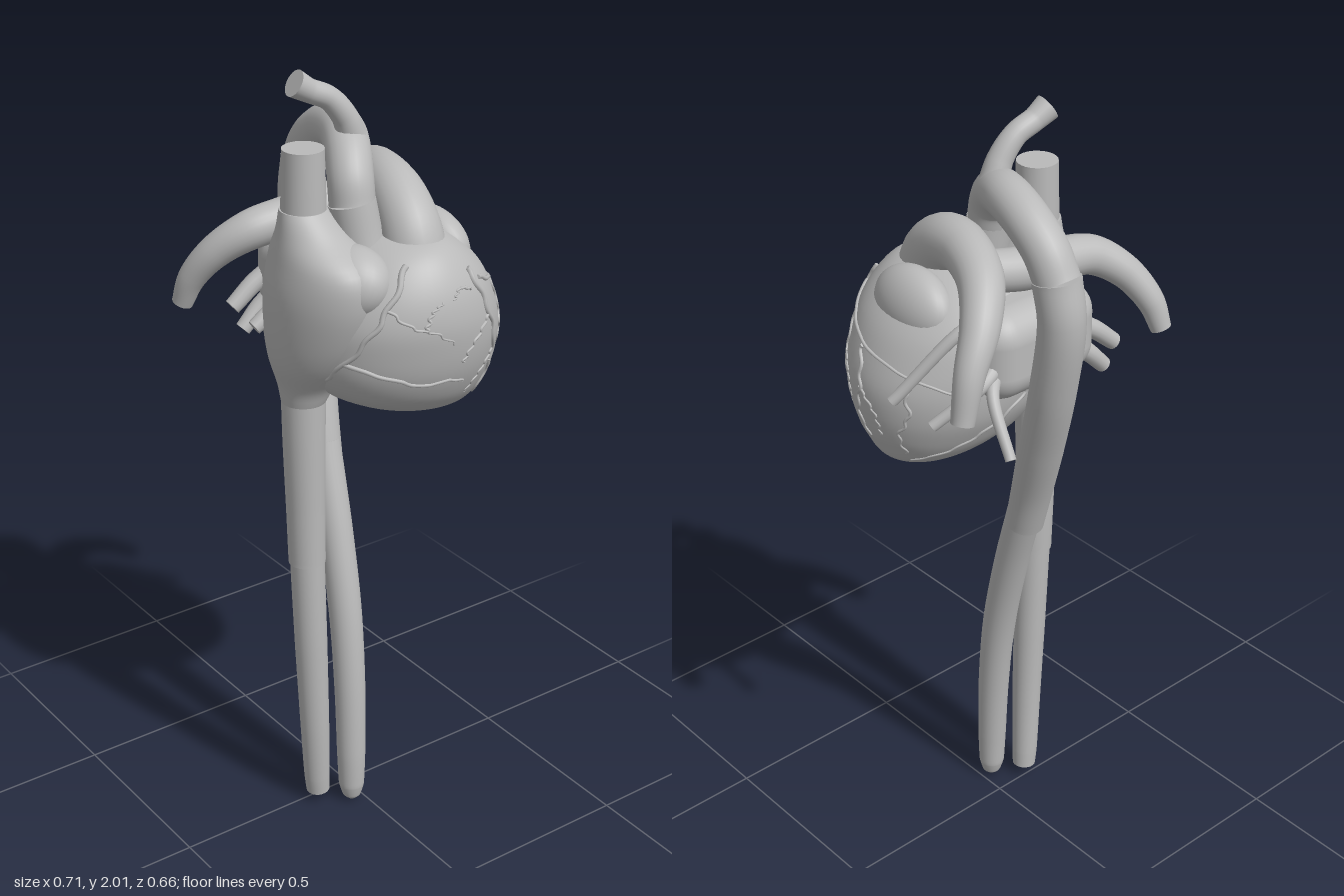
import * as THREE from 'three';
import { RoundedBoxGeometry } from 'three/addons/geometries/RoundedBoxGeometry.js';

const tissue = new THREE.MeshStandardMaterial({ color: 0xbababa });
tissue.name = 'tissueGrey';

// Closed surface from rings: fn(i, j) gives the point on row i at column j
function ringSurface(rows, cols, fn) {
  const pos = [], index = [];
  const ring = (i) => {
    for (let j = 0; j < cols; j++) pos.push(...fn(i, j).toArray());
  };
  const centre = (i) => {
    const c = new THREE.Vector3();
    for (let j = 0; j < cols; j++) c.addScaledVector(fn(i, j), 1 / cols);
    for (let j = 0; j < cols; j++) pos.push(...c.toArray());
  };
  // doubled end rings keep the caps crisp
  centre(0); ring(0);
  for (let i = 0; i <= rows; i++) ring(i);
  ring(rows); centre(rows);
  for (let i = 0; i < rows + 4; i++) {
    for (let j = 0; j < cols; j++) {
      const k = (j + 1) % cols, a = i * cols, b = a + cols;
      index.push(a + j, b + j, a + k, b + j, b + k, a + k);
    }
  }
  const g = new THREE.BufferGeometry();
  g.setAttribute('position', new THREE.Float32BufferAttribute(pos, 3));
  g.setIndex(index);
  g.computeVertexNormals();
  return g;
}

// Smoothly interpolate rows of numbers
function spline(table) {
  const n = table[0].length;
  const f = new THREE.CubicInterpolant(table.map((_, i) => i), table.flat(), n, new Array(n));
  return (t) => Array.from(f.evaluate(Math.min(t, table.length - 1)));
}

// Vessel through points [x, y, z, radius]
function vesselGeometry(points, rows = 40, cols = 24) {
  const curve = new THREE.CatmullRomCurve3(points.map((p) => new THREE.Vector3(p[0], p[1], p[2])));
  const frames = [], last = points.length - 1;
  let normal = null;
  for (let i = 0; i <= rows; i++) {
    // carry the frame along the path without twisting
    const t = curve.getTangent(i / rows);
    if (!normal) normal = Math.abs(t.x) > 0.8 ? new THREE.Vector3(0, 1, 0) : new THREE.Vector3(1, 0, 0);
    normal = normal.clone().addScaledVector(t, -normal.dot(t)).normalize();
    const s = (i / rows) * last, k = Math.min(Math.floor(s), last - 1);
    const r = THREE.MathUtils.lerp(points[k][3], points[k + 1][3], s - k);
    frames.push({ c: curve.getPoint(i / rows), n: normal, b: t.clone().cross(normal), r });
  }
  return ringSurface(rows, cols, (i, j) => {
    const a = (j / cols) * Math.PI * 2, f = frames[i];
    return f.c.clone().addScaledVector(f.n, f.r * Math.cos(a)).addScaledVector(f.b, -f.r * Math.sin(a));
  });
}

// Body from level sections [y, xMin, xMax, zMin, zMax]
function sectionPoint(f, t, a) {
  const [y, x0, x1, z0, z1] = f(t);
  return new THREE.Vector3(
    (x0 + x1) / 2 + ((x1 - x0) / 2) * Math.cos(a), y,
    (z0 + z1) / 2 + ((z1 - z0) / 2) * Math.sin(a));
}
function bodyGeometry(table, cols = 56) {
  const f = spline(table), rows = (table.length - 1) * 5;
  return ringSurface(rows, cols, (i, j) => sectionPoint(f, i / 5, (j / cols) * Math.PI * 2));
}

const VENTRICLES = [
  [1.155, 0.18, 0.25, 0.05, 0.13], [1.164, 0.08, 0.275, 0.0, 0.18],
  [1.18, 0.0, 0.292, -0.035, 0.215], [1.21, -0.07, 0.308, -0.07, 0.25],
  [1.25, -0.13, 0.325, -0.1, 0.28], [1.31, -0.165, 0.337, -0.13, 0.308],
  [1.38, -0.175, 0.337, -0.145, 0.325], [1.45, -0.17, 0.315, -0.15, 0.331],
  [1.52, -0.14, 0.28, -0.14, 0.318], [1.58, -0.09, 0.225, -0.11, 0.285],
  [1.615, -0.03, 0.17, -0.05, 0.24], [1.63, 0.03, 0.12, 0.03, 0.17],
];

const RIGHT_ATRIUM = [
  [1.2, -0.195, -0.085, -0.035, 0.075], [1.25, -0.205, -0.06, -0.05, 0.1],
  [1.32, -0.228, -0.02, -0.08, 0.16], [1.4, -0.238, 0.0, -0.1, 0.205],
  [1.5, -0.238, 0.0, -0.1, 0.235], [1.58, -0.224, -0.02, -0.085, 0.225],
  [1.64, -0.208, -0.055, -0.05, 0.14], [1.69, -0.195, -0.082, -0.033, 0.08],
];

// Coronary paths as [degrees around the ventricles, height]; 90 faces front
const CORONARIES = [
  [0.008, [[122, 1.59], [131, 1.5], [143, 1.41], [165, 1.31], [190, 1.27]]],
  [0.006, [[152, 1.36], [128, 1.33], [108, 1.3], [92, 1.3], [80, 1.28]]],
  [0.004, [[130, 1.5], [115, 1.46], [102, 1.44], [90, 1.4]]],
  [0.004, [[108, 1.45], [104, 1.49], [96, 1.51]]],
  [0.008, [[66, 1.56], [63, 1.5], [58, 1.42], [54, 1.34], [53, 1.27], [58, 1.2]]],
  [0.005, [[60, 1.44], [70, 1.41], [80, 1.37], [84, 1.34]]],
  [0.004, [[55, 1.33], [66, 1.28], [76, 1.23]]],
  [0.004, [[54, 1.3], [42, 1.25], [36, 1.2]]],
  [0.004, [[72, 1.52], [82, 1.53], [88, 1.51]]],
  [0.006, [[58, 1.53], [40, 1.5], [15, 1.47], [-20, 1.44], [-55, 1.4]]],
  [0.005, [[38, 1.5], [34, 1.42], [38, 1.35], [32, 1.28]]],
  [0.004, [[34, 1.41], [24, 1.37], [21, 1.32]]],
  [0.006, [[12, 1.46], [6, 1.38], [10, 1.3], [3, 1.24]]],
  [0.004, [[6, 1.37], [-6, 1.32], [-10, 1.26]]],
  [0.005, [[-25, 1.42], [-30, 1.34], [-24, 1.27], [-30, 1.21]]],
  [0.005, [[-100, 1.36], [-80, 1.28], [-60, 1.22], [-35, 1.185]]],
];

export function createModel() {
  const model = new THREE.Group();
  model.name = 'heart';
  const add = (name, geometry, parent = model) => {
    const m = new THREE.Mesh(geometry, tissue);
    m.name = name;
    parent.add(m);
    return m;
  };
  const lobe = (name, [x, y, z], [rx, ry, rz], tilt) => {
    const m = add(name, new THREE.SphereGeometry(1, 32, 24));
    m.position.set(x, y, z);
    m.scale.set(rx, ry, rz);
    m.rotation.set(...tilt);
  };

  // Chambers
  add('ventricles', bodyGeometry(VENTRICLES));
  add('rightAtrium', bodyGeometry(RIGHT_ATRIUM));
  lobe('rightAuricle', [-0.095, 1.54, 0.15], [0.078, 0.088, 0.105], [0, 0.3, -0.5]);
  add('leftAtrium', new RoundedBoxGeometry(0.34, 0.23, 0.22, 6, 0.075)).position.set(0.015, 1.48, -0.088);
  lobe('leftAuricle', [0.198, 1.555, 0.08], [0.063, 0.09, 0.122], [0, 0, 0.25]);

  // Great veins
  add('superiorVenaCava', vesselGeometry([
    [-0.138, 1.6, 0.025, 0.056], [-0.138, 1.72, 0.025, 0.053], [-0.138, 1.835, 0.025, 0.05]]));
  add('upperInferiorVenaCava', vesselGeometry([
    [-0.14, 1.28, 0.02, 0.056], [-0.14, 1.1, 0.02, 0.053], [-0.137, 0.9, 0.02, 0.049], [-0.135, 0.75, 0.021, 0.047]]));
  add('lowerInferiorVenaCava', vesselGeometry([
    [-0.135, 0.77, 0.021, 0.044], [-0.128, 0.5, 0.025, 0.042], [-0.118, 0.25, 0.024, 0.038],
    [-0.108, 0.08, 0.018, 0.034], [-0.104, 0.03, 0.016, 0.031]]));

  // Aorta
  add('aorticRoot', vesselGeometry([
    [-0.01, 1.48, 0.12, 0.06], [-0.025, 1.6, 0.09, 0.059], [-0.037, 1.7, 0.075, 0.057]]));
  add('aorticArch', vesselGeometry([
    [-0.036, 1.69, 0.076, 0.055], [-0.03, 1.75, 0.06, 0.055], [-0.005, 1.8, 0.015, 0.055],
    [0.03, 1.822, -0.06, 0.055], [0.053, 1.805, -0.15, 0.055], [0.058, 1.755, -0.22, 0.055],
    [0.057, 1.69, -0.258, 0.055]], 60));
  add('upperDescendingAorta', vesselGeometry([
    [0.057, 1.7, -0.254, 0.058], [0.056, 1.6, -0.272, 0.056], [0.046, 1.4, -0.236, 0.056],
    [0.022, 1.2, -0.172, 0.055], [0.004, 1.05, -0.122, 0.051], [-0.003, 0.94, -0.09, 0.048]]));
  add('lowerDescendingAorta', vesselGeometry([
    [0.0, 1.0, -0.1, 0.044], [-0.01, 0.78, -0.032, 0.044], [-0.018, 0.56, 0.022, 0.043],
    [-0.025, 0.35, 0.052, 0.041], [-0.031, 0.15, 0.067, 0.038], [-0.032, 0.05, 0.07, 0.034],
    [-0.032, 0.015, 0.071, 0.024], [-0.032, 0.0, 0.071, 0.008]], 60));
  add('archBranch', vesselGeometry([
    [0.01, 1.83, 0.01, 0.036], [-0.01, 1.88, 0.01, 0.031], [-0.05, 1.93, 0.003, 0.028],
    [-0.1, 1.955, -0.005, 0.028], [-0.136, 1.977, -0.01, 0.033]]));

  // Pulmonary arteries
  add('pulmonaryTrunk', vesselGeometry([
    [0.078, 1.54, 0.17, 0.082], [0.083, 1.63, 0.14, 0.074], [0.098, 1.686, 0.07, 0.067],
    [0.122, 1.703, -0.02, 0.06], [0.168, 1.68, -0.125, 0.055], [0.232, 1.615, -0.195, 0.047],
    [0.29, 1.53, -0.226, 0.037], [0.32, 1.42, -0.235, 0.028]], 60));
  add('rightPulmonaryArtery', vesselGeometry([
    [0.12, 1.66, -0.05, 0.05], [0.0, 1.64, -0.08, 0.052], [-0.1, 1.63, -0.083, 0.052],
    [-0.2, 1.615, -0.098, 0.048], [-0.27, 1.565, -0.142, 0.041], [-0.313, 1.49, -0.19, 0.034],
    [-0.328, 1.42, -0.215, 0.026]], 60));

  // Pulmonary veins
  const veins = new THREE.Group();
  veins.name = 'pulmonaryVeins';
  model.add(veins);
  [
    [[0.14, 1.53, -0.12], [0.19, 1.57, -0.115], [0.345, 1.39, -0.015], 0.014],
    [[0.12, 1.48, -0.14], [0.2, 1.44, -0.165], [0.305, 1.35, -0.11], 0.014],
    [[0.12, 1.46, -0.13], [0.19, 1.42, -0.19], [0.215, 1.3, -0.28], 0.013],
    [[-0.08, 1.49, -0.13], [-0.15, 1.46, -0.15], [-0.222, 1.4, -0.16], 0.021],
    [[-0.08, 1.44, -0.12], [-0.14, 1.4, -0.145], [-0.2, 1.34, -0.15], 0.02],
    [[-0.13, 1.44, -0.03], [-0.19, 1.42, -0.04], [-0.235, 1.39, -0.045], 0.019],
  ].forEach(([a, b, c, r], i) =>
    add(`pulmonaryVein${i + 1}`, vesselGeometry([[...a, r * 1.6], [...b, r * 1.15], [...c, r]], 20, 14), veins));

  // Coronary vessels lying on the ventricle surface
  const coronaries = new THREE.Group();
  coronaries.name = 'coronaryVessels';
  model.add(coronaries);
  const f = spline(VENTRICLES);
  CORONARIES.forEach(([r, path], i) => {
    const guide = new THREE.SplineCurve(path.map(([a, y]) => new THREE.Vector2(a, y)));
    const pts = guide.getPoints(24).map((p, k) => {
      let lo = 0, hi = VENTRICLES.length - 1;
      for (let n = 0; n < 24; n++) {
        const mid = (lo + hi) / 2;
        if (f(mid)[0] < p.y) lo = mid; else hi = mid;
      }
      const wiggle = p.x + 1.3 * Math.sin(k * 1.3 + i);
      const q = sectionPoint(f, lo, THREE.MathUtils.degToRad(wiggle));
      return [q.x, q.y, q.z, r * (1 - k / 48)];
    });
    add(`coronaryVessel${i + 1}`, vesselGeometry(pts, 60, 8), coronaries);
  });
  return model;
}
